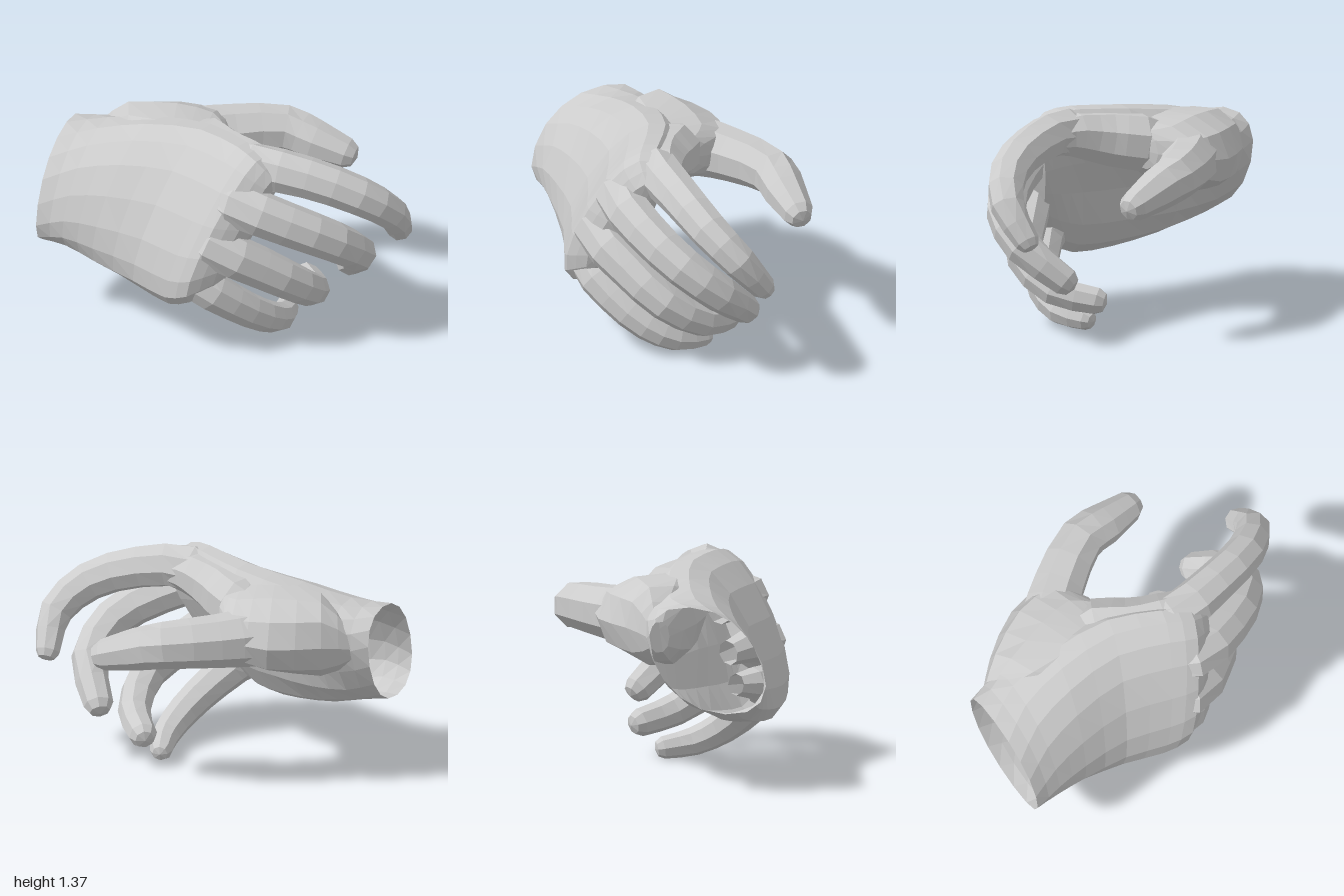
import * as THREE from 'three';

const V = (a) => new THREE.Vector3(...a);
const skin = new THREE.MeshStandardMaterial({ color: 0xcccccc, flatShading: true, side: THREE.DoubleSide });

// Joins equal-length rings of points into a skin, closed at the far end by a tip point.
function loft(name, rings, tip) {
  const n = rings[0].length, pos = [], idx = [];
  rings.forEach((ring) => ring.forEach((p) => pos.push(p.x, p.y, p.z)));
  for (let i = 0; i < rings.length - 1; i++) {
    for (let j = 0; j < n; j++) {
      const a = i * n + j, b = i * n + (j + 1) % n;
      idx.push(a, b, b + n, a, b + n, a + n);
    }
  }
  const last = (rings.length - 1) * n;
  pos.push(tip.x, tip.y, tip.z);
  for (let j = 0; j < n; j++) idx.push(last + j, last + (j + 1) % n, last + n);
  const g = new THREE.BufferGeometry();
  g.setAttribute('position', new THREE.Float32BufferAttribute(pos, 3));
  g.setIndex(idx);
  g.computeVertexNormals();
  const mesh = new THREE.Mesh(g, skin);
  mesh.name = name;
  return mesh;
}

// Finger: round sections along a curve; each point is [x, y, z, radius].
function digit(name, points, across, perSpan = 2, sides = 8) {
  const curve = new THREE.CatmullRomCurve3(points.map((p) => V(p.slice(0, 3))));
  const spans = points.length - 1, total = spans * perSpan, rings = [];
  const ring = (c, d, r) => {
    const w = across.clone().addScaledVector(d, -across.dot(d)).normalize();
    const t = d.clone().cross(w);
    return Array.from({ length: sides }, (_, j) => {
      const a = ((j + 0.5) / sides) * Math.PI * 2;
      return c.clone().addScaledVector(w, r * Math.cos(a)).addScaledVector(t, r * Math.sin(a));
    });
  };
  for (let i = 0; i <= total; i++) {
    const k = Math.min(Math.floor(i / perSpan), spans - 1), f = i / perSpan - k;
    const r = THREE.MathUtils.lerp(points[k][3], points[k + 1][3], f);
    rings.push(ring(curve.getPoint(i / total), curve.getTangent(i / total), r));
  }
  // rounded fingertip
  const end = curve.getPoint(1), d = curve.getTangent(1), r = points[spans][3];
  rings.push(ring(end.clone().addScaledVector(d, r * 0.55), d, r * 0.68));
  return loft(name, rings, end.clone().addScaledVector(d, r * 0.75));
}

// Oval sections: [centre, half width, half thickness, hollow of the under side].
function ovalBody(name, sections, tip, sides) {
  const curves = [0, 1, 2].map((k) => new THREE.CatmullRomCurve3(sections.map((s) => V(s[k]))));
  const total = (sections.length - 1) * 2, rings = [];
  const soft = (v) => Math.sign(v) * Math.abs(v) ** 0.9;
  for (let i = 0; i <= total; i++) {
    const [c, w, t] = curves.map((q) => q.getPoint(i / total));
    const hollow = (sections[Math.floor(i / 2)][3] + sections[Math.ceil(i / 2)][3]) / 2;
    rings.push(Array.from({ length: sides }, (_, j) => {
      const a = (j / sides) * Math.PI * 2, u = soft(Math.cos(a));
      let v = soft(Math.sin(a));
      if (v < 0) v *= 1 - hollow * Math.max(0, 1 - 2 * (u - 0.15) ** 2);
      return c.clone().addScaledVector(w, u).addScaledVector(t, v);
    }));
  }
  return loft(name, rings, V(tip));
}

export function createModel() {
  const hand = new THREE.Group();
  hand.name = 'hand';

  // palm, from the open wrist to the knuckles
  hand.add(ovalBody('palm', [
    [[-0.67, 0.85, -0.83], [0.1, 0.34, -0.05], [-0.3, -0.02, 0.17], 0],
    [[-0.54, 0.85, -0.67], [0.19, 0.36, -0.07], [-0.29, 0.06, 0.15], 0.1],
    [[-0.42, 0.85, -0.43], [0.25, 0.43, -0.04], [-0.26, 0.09, 0.1], 0.3],
    [[-0.31, 0.85, -0.1], [0.29, 0.49, 0], [-0.2, 0.1, 0.06], 0.45],
    [[-0.28, 0.85, 0.2], [0.28, 0.51, 0.04], [-0.17, 0.1, 0.06], 0.35],
    [[-0.26, 0.87, 0.37], [0.26, 0.46, 0.05], [-0.15, 0.09, 0.06], 0.1],
    [[-0.18, 0.87, 0.47], [0.22, 0.36, 0.05], [-0.09, 0.06, 0.04], 0],
  ], [-0.16, 0.86, 0.49], 16));

  // fleshy base of the thumb, fanning out from the wrist to the web of skin
  hand.add(ovalBody('thumbBase', [
    [[-0.34, 0.98, -0.87], [0.04, 0, -0.06], [0, 0.1, 0], 0],
    [[-0.24, 1.02, -0.67], [0.15, 0, -0.19], [0, 0.26, 0], 0],
    [[-0.04, 1.05, -0.42], [0.25, -0.02, -0.27], [-0.02, 0.25, 0], 0],
    [[0.1, 1.09, -0.25], [0.25, -0.03, -0.22], [-0.02, 0.18, 0], 0],
    [[0.1, 1.11, -0.14], [0.13, -0.02, -0.08], [0, 0.13, 0], 0],
  ], [0.11, 1.11, -0.11], 10));

  // web of skin between thumb and index finger
  hand.add(digit('thumbWeb', [[-0.04, 1.1, -0.32, 0.14], [0.01, 1.13, -0.16, 0.19],
    [-0.01, 1.16, 0.04, 0.18], [0.02, 1.2, 0.26, 0.15], [0.08, 1.2, 0.42, 0.11]], V([1, 0, 0])));

  // fingers, from a start buried in the palm to the tip
  const across = V([0.5, 0.85, 0.1]).normalize();
  const fingers = {
    indexFinger: [[-0.1, 1.12, 0.02, 0.1], [0.0, 1.22, 0.32, 0.15], [0.21, 1.19, 0.6, 0.135],
      [0.44, 1.08, 0.82, 0.125], [0.65, 0.91, 0.89, 0.11], [0.79, 0.7, 0.8, 0.08]],
    middleFinger: [[-0.22, 1.0, 0.08, 0.08], [-0.22, 1.06, 0.41, 0.15], [0.0, 0.95, 0.65, 0.14],
      [0.27, 0.79, 0.79, 0.13], [0.5, 0.6, 0.74, 0.12], [0.62, 0.39, 0.5, 0.095]],
    ringFinger: [[-0.3, 0.75, 0.06, 0.08], [-0.37, 0.79, 0.38, 0.145], [-0.13, 0.63, 0.54, 0.135],
      [0.12, 0.45, 0.62, 0.12], [0.34, 0.28, 0.49, 0.105], [0.46, 0.22, 0.25, 0.09]],
    littleFinger: [[-0.38, 0.56, 0.02, 0.07], [-0.44, 0.53, 0.28, 0.135], [-0.25, 0.36, 0.41, 0.118],
      [-0.03, 0.2, 0.45, 0.105], [0.15, 0.105, 0.4, 0.092], [0.3, 0.07, 0.27, 0.072]],
  };
  for (const [name, points] of Object.entries(fingers)) hand.add(digit(name, points, across));

  // thumb
  hand.add(digit('thumb', [[-0.1, 1.02, -0.5, 0.1], [0.12, 1.03, -0.46, 0.19],
    [0.36, 1.03, -0.37, 0.17], [0.65, 1.02, -0.2, 0.15], [0.76, 0.97, -0.04, 0.135],
    [0.88, 0.91, 0.13, 0.1]], V([0, 1, 0])));
  return hand;
}
